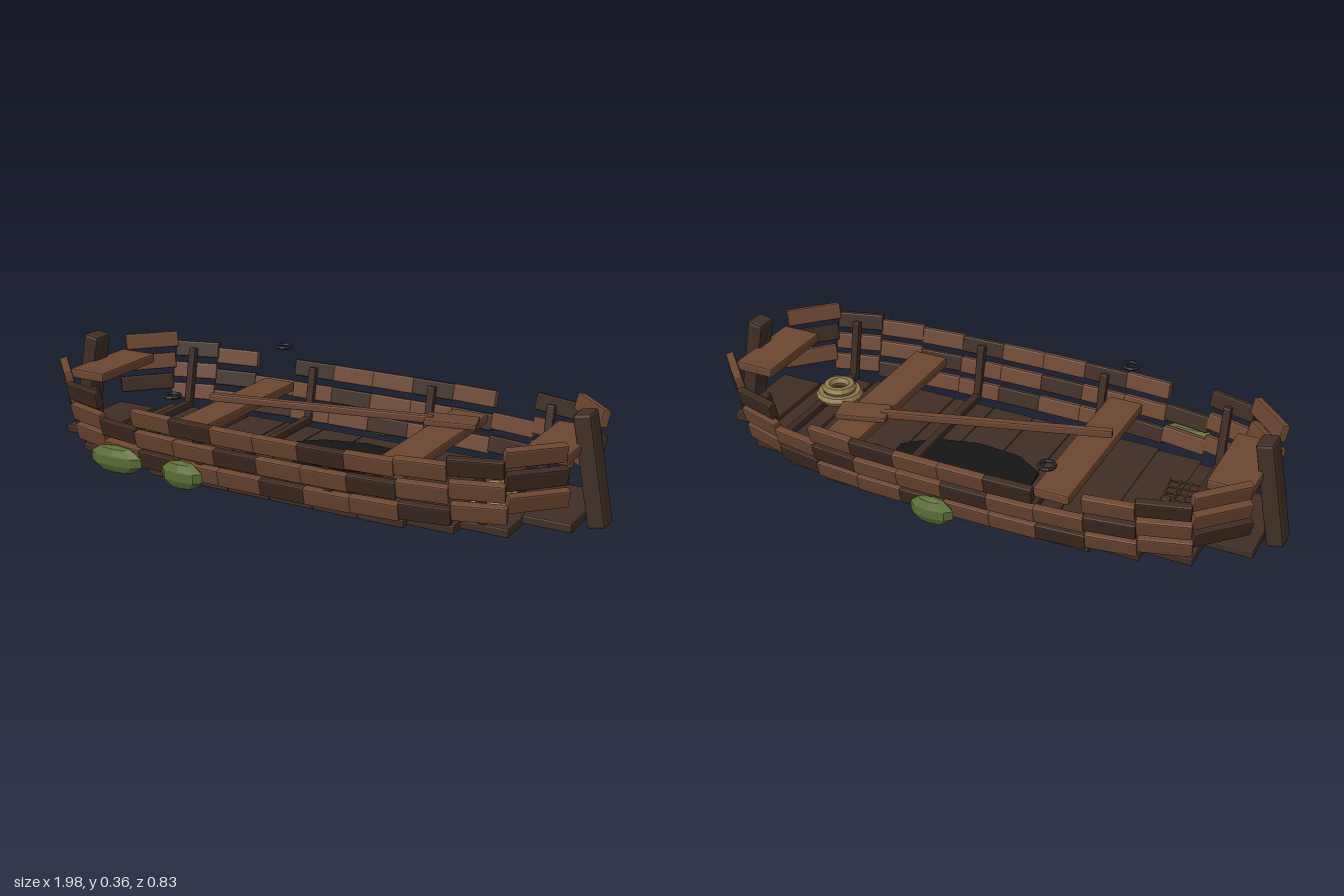
import * as THREE from 'three';
import { RoundedBoxGeometry } from 'three/addons/geometries/RoundedBoxGeometry.js';

const mat = (color) => new THREE.MeshStandardMaterial({ color, flatShading: true });
const LIGHT = mat(0x6b4630), DARK = mat(0x3c2a20), FLOOR = mat(0x402e25), IRON = mat(0x2a2d30);
const ROPE = mat(0x8f784c), MOSS = mat(0x5a6c34), WATER = mat(0x151515), NET = mat(0x5a4c36);

export function createModel() {
  const boat = new THREE.Group();
  boat.name = 'rowingBoat';

  const add = (name, geometry, material, x, y, z, parent = boat) => {
    const m = new THREE.Mesh(geometry, material);
    m.name = name;
    m.position.set(x, y, z);
    parent.add(m);
    return m;
  };
  // Timber with a small chamfer on its edges
  const timber = (name, w, h, d, material, x, y, z, parent) =>
    add(name, new RoundedBoxGeometry(w, h, d, 1, Math.min(w, h, d) * 0.18), material, x, y, z, parent);

  const STEP = 0.155;
  const rise = (x) => 0.09 * Math.pow(Math.abs(x) / 0.93, 4);

  // Floor: crosswise planks, narrower and higher towards the ends
  const floorHalf = [0.31, 0.31, 0.31, 0.29, 0.255, 0.155];
  const floorY = [0.02, 0.02, 0.021, 0.026, 0.034, 0.045];
  for (const s of [-1, 1]) {
    floorHalf.forEach((half, i) =>
      timber('floorPlank', STEP, 0.03, half * 2, FLOOR, s * (i + 0.5) * STEP, floorY[i], 0));
  }

  // Hull sides: three rows of short planks following a curved, flared outline
  const outline = [0.392, 0.391, 0.387, 0.376, 0.352, 0.307, 0.172];
  const edge = (k) => ({ x: Math.sign(k) * (Math.abs(k) === 6 ? 0.905 : Math.abs(k) * STEP), z: outline[Math.abs(k)] });
  const rows = [{ y: 0.219, inset: 0 }, { y: 0.143, inset: 0.018 }, { y: 0.069, inset: 0.038 }];
  const missing = ['1:0:2', '-1:0:3', '-1:0:9'];
  for (const side of [1, -1]) {
    const hull = new THREE.Group();
    hull.name = side > 0 ? 'frontHullSide' : 'backHullSide';
    boat.add(hull);
    rows.forEach((row, r) => {
      for (let i = 0; i < 12; i++) {
        if (missing.includes(`${side}:${r}:${i}`)) continue;
        const a = edge(i - 6), b = edge(i - 5);
        const dx = b.x - a.x, dz = (b.z - a.z) * side;
        const x = (a.x + b.x) / 2;
        const z = ((a.z + b.z) / 2 - row.inset) * side;
        const plank = timber('hullPlank', Math.hypot(dx, dz) + 0.004, 0.057, 0.028,
          (i - r + 3) % 3 === 1 ? DARK : LIGHT, x, row.y + rise((i - 5.5) * STEP), z, hull);
        plank.rotation.set(side * 0.24, Math.atan2(-dz, dx), 0, 'YXZ');
      }
    });
  }

  // Ribs: a floor beam with an upright at each end
  for (const [x, half, y, top] of [[0.232, 0.345, 0.05, 0.235], [0.69, 0.262, 0.06, 0.265]]) {
    for (const s of [-1, 1]) {
      timber('ribBeam', 0.03, 0.025, half * 2, DARK, s * x, y, 0);
      for (const side of [-1, 1]) {
        const upright = timber('ribUpright', 0.028, top - y, 0.025, DARK, s * x, (top + y) / 2, side * (half + 0.007));
        upright.rotation.x = side * 0.2;
      }
    }
  }

  // Stem posts leaning inwards, with a short seat beside each
  for (const s of [-1, 1]) {
    const post = timber('stemPost', 0.058, 0.355, 0.078, FLOOR, s * 0.931, 0.182, 0);
    post.rotation.z = s * 0.19;
    timber('endSeat', 0.14, 0.033, 0.3, LIGHT, s * 0.835, 0.248, 0);
  }

  // Benches
  timber('bench', 0.12, 0.033, 0.62, LIGHT, -0.335, 0.173, 0);
  timber('bench', 0.125, 0.033, 0.62, LIGHT, 0.402, 0.173, 0);

  // Oar resting across the benches
  const oar = new THREE.Group();
  oar.name = 'oar';
  oar.position.set(0.05, 0.206, -0.065);
  oar.rotation.set(0, 0.255, -0.02, 'YXZ');
  boat.add(oar);
  timber('oarShaft', 0.76, 0.026, 0.026, LIGHT, -0.075, 0, 0, oar);
  timber('oarBlade', 0.17, 0.018, 0.092, LIGHT, 0.365, 0, 0, oar);

  // Dark puddle on the floor
  const puddle = add('puddle', new THREE.CylinderGeometry(1, 1, 0.008, 10), WATER, 0.075, 0.04, -0.083);
  puddle.scale.set(0.26, 1, 0.142);
  puddle.rotation.y = 0.08;

  // Coil of rope
  for (const [radius, y] of [[0.066, 0.075], [0.044, 0.1]]) {
    const coil = add('ropeCoil', new THREE.TorusGeometry(radius, 0.017, 6, 14), ROPE, 0.66, y, 0.1);
    coil.rotation.x = Math.PI / 2;
  }

  // Net lying on the floor, as thin crossed cords
  const net = new THREE.Group();
  net.name = 'net';
  net.position.set(-0.665, 0.05, 0.035);
  boat.add(net);
  for (let i = 0; i < 6; i++) {
    const t = i / 5 - 0.5;
    add('netCord', new THREE.BoxGeometry(0.18, 0.004, 0.004), NET, 0, 0, t * 0.18, net).rotation.y = 0.12;
    add('netCord', new THREE.BoxGeometry(0.004, 0.004, 0.2), NET, t * 0.17, 0, 0, net).rotation.y = 0.12;
  }

  // Moss clumps on the outside of the hull
  for (const [x, z, w] of [[-0.545, 0.372, 0.105], [-0.275, 0.388, 0.08], [0.03, -0.388, 0.078]]) {
    const clump = add('mossClump', new THREE.SphereGeometry(1, 8, 5), MOSS, x, 0.065, z);
    clump.scale.set(w, 0.048, 0.03);
  }

  // Iron oar rings above the rail
  for (const side of [-1, 1]) {
    const ring = add('oarRing', new THREE.TorusGeometry(0.025, 0.006, 6, 12), IRON, -0.335, 0.304, side * 0.34);
    ring.rotation.x = Math.PI / 2;
  }
  return boat;
}
